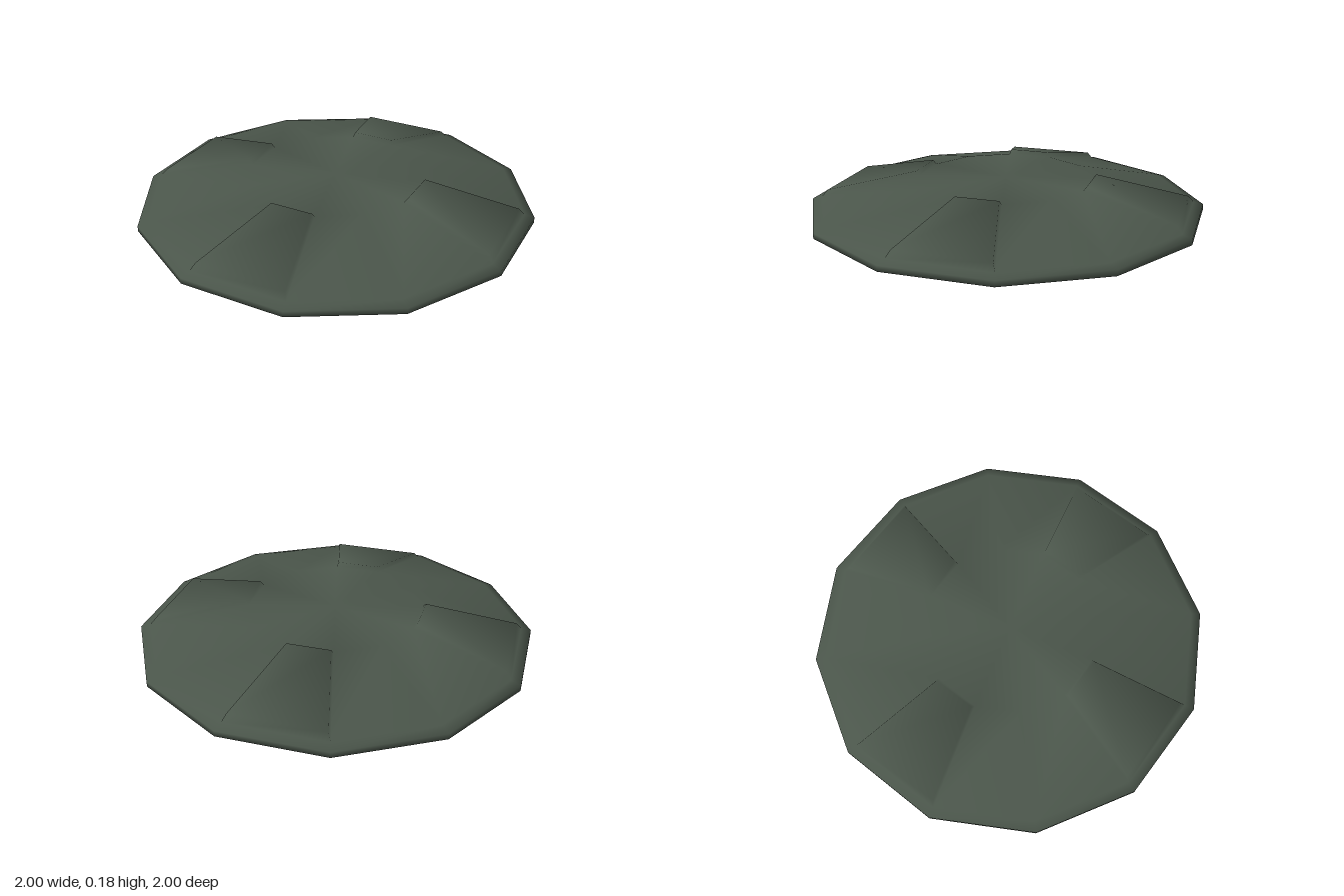
import * as THREE from 'three';

const hull = new THREE.MeshStandardMaterial({ color: 0x4b564b });
hull.name = 'dull green';

const SIDES = 12;
const positions = [];

// Adds a point at a radius, an angle in degrees and a height; returns its number
function point(r, deg, y) {
  const a = THREE.MathUtils.degToRad(deg);
  positions.push(r * Math.sin(a), y, r * Math.cos(a));
  return positions.length / 3 - 1;
}

const quad = (list, a, b, c, d) => list.push(a, b, c, a, c, d);

// Smooth normals, each face weighted by its angle at the corner
function smoothNormals(index) {
  const corner = (i) => new THREE.Vector3().fromArray(positions, i * 3);
  const sums = positions.map(() => 0);
  for (let t = 0; t < index.length; t += 3) {
    for (let k = 0; k < 3; k++) {
      const p = corner(index[t + k]);
      const e1 = corner(index[t + (k + 1) % 3]).sub(p);
      const e2 = corner(index[t + (k + 2) % 3]).sub(p);
      const n = e1.clone().cross(e2).setLength(e1.angleTo(e2));
      n.toArray().forEach((v, c) => { sums[index[t + k] * 3 + c] += v; });
    }
  }
  const normals = new THREE.Float32BufferAttribute(sums, 3);
  for (let i = 0; i < normals.count; i++) {
    const n = new THREE.Vector3().fromBufferAttribute(normals, i).normalize();
    normals.setXYZ(i, n.x, n.y, n.z);
  }
  return normals;
}

export function createModel() {
  const group = new THREE.Group();
  positions.length = 0;
  const discIndex = [], padIndex = [];

  // Rings of the dished shell, from the hollow underside round the rim to the flat middle
  const profile = [[0.43, 0.14], [0.95, 0], [1, 0], [1, 0.028], [0.95, 0.042], [0.44, 0.16]];
  const rings = profile.map(([r, y]) =>
    Array.from({ length: SIDES }, (_, j) => point(r, j * 360 / SIDES, y)));
  const bottom = point(0, 0, 0.14), top = point(0, 0, 0.16);

  for (let j = 0; j < SIDES; j++) {
    const n = (j + 1) % SIDES;
    discIndex.push(bottom, rings[0][n], rings[0][j], rings[5][j], rings[5][n], top);
    for (let i = 0; i < 4; i++) {
      quad(discIndex, rings[i][j], rings[i][n], rings[i + 1][n], rings[i + 1][j]);
    }
    const base = [rings[4][j], rings[4][n], rings[5][n], rings[5][j]];
    if (j % 3) {
      quad(discIndex, ...base); // plain slope
    } else {
      // Every third sector carries a raised pad with slanted walls
      const deg = j * 360 / SIDES;
      const upper = [
        point(0.922, deg + 0.6, 0.074), point(0.922, deg + 29.4, 0.074),
        point(0.455, deg + 28.8, 0.182), point(0.455, deg + 1.2, 0.182),
      ];
      quad(padIndex, ...upper);
      for (let k = 0; k < 4; k++) {
        const m = (k + 1) % 4;
        quad(padIndex, base[k], base[m], upper[m], upper[k]);
      }
    }
  }

  // Shell and pads share points and normals, so they shade as one skin
  const position = new THREE.Float32BufferAttribute(positions, 3);
  const normal = smoothNormals([...discIndex, ...padIndex]);
  for (const [name, index] of [['disc', discIndex], ['raisedPads', padIndex]]) {
    const geometry = new THREE.BufferGeometry();
    geometry.setAttribute('position', position);
    geometry.setAttribute('normal', normal);
    geometry.setIndex(index);
    const mesh = new THREE.Mesh(geometry, hull);
    mesh.name = name;
    group.add(mesh);
  }
  return group;
}
